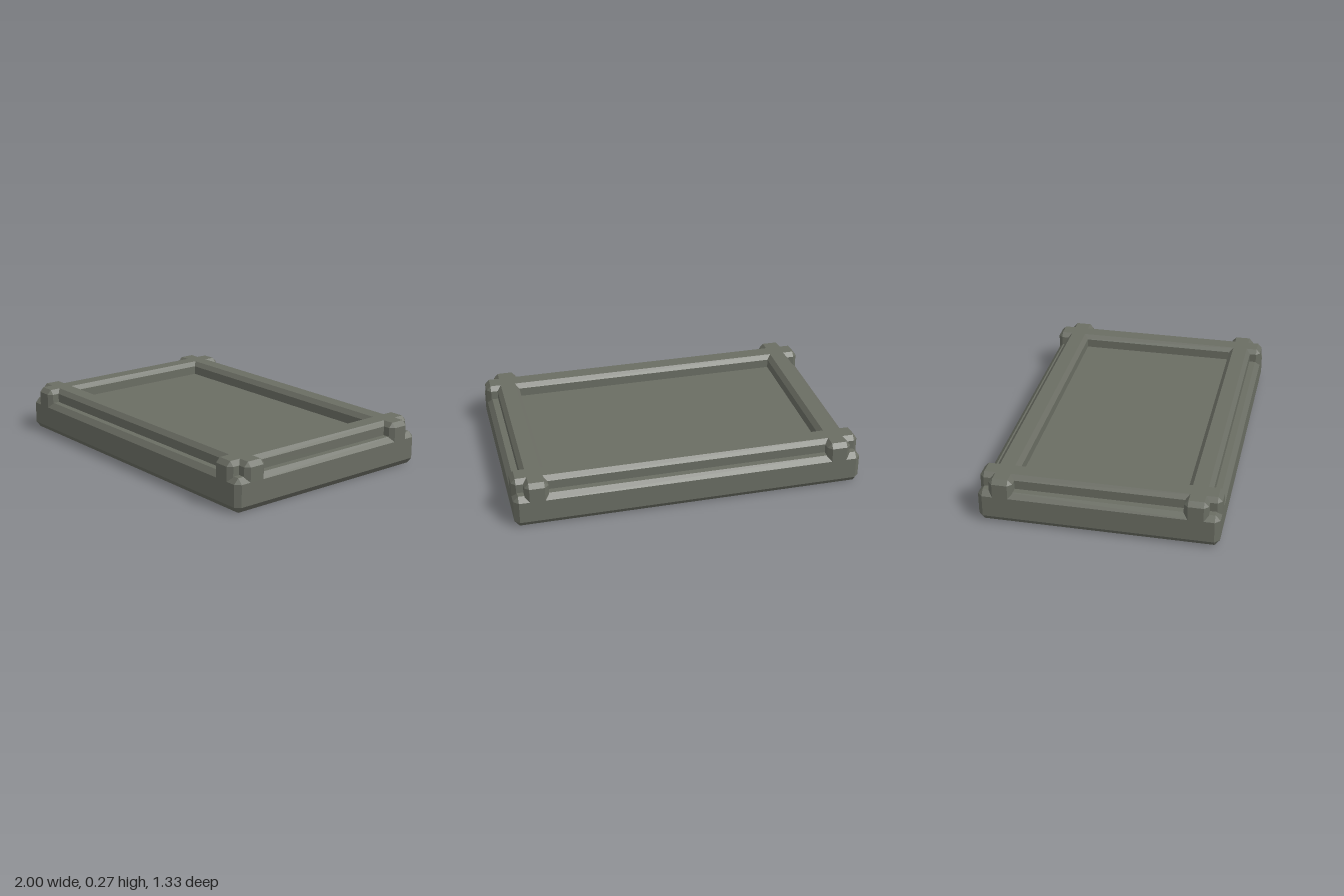
import * as THREE from 'three';
import { ConvexGeometry } from 'three/addons/geometries/ConvexGeometry.js';

// Block with chamfered edges; each end of y may have its own chamfer height (0 = square edge).
function chamferedBlock(halfX, halfZ, y0, y1, c, bottomC, topC) {
  const pts = [];
  for (const sx of [-1, 1]) for (const sz of [-1, 1]) {
    for (const [y, h, inward] of [[y0, bottomC, 1], [y1, topC, -1]]) {
      const yEdge = y + inward * h;
      pts.push(new THREE.Vector3(sx * halfX, yEdge, sz * (halfZ - c)));
      pts.push(new THREE.Vector3(sx * (halfX - c), yEdge, sz * halfZ));
      if (h > 0) pts.push(new THREE.Vector3(sx * (halfX - c), y, sz * (halfZ - c)));
    }
  }
  return new ConvexGeometry(pts);
}

export function createModel() {
  const group = new THREE.Group();
  group.name = 'tray';
  const stone = new THREE.MeshStandardMaterial({ color: 0x6a6d63 });
  stone.name = 'grey green';

  const add = (name, geometry, x = 0, z = 0) => {
    const mesh = new THREE.Mesh(geometry, stone);
    mesh.name = name;
    mesh.position.set(x, 0, z);
    group.add(mesh);
  };

  const X = 1, Z = 0.667, ledge = 0.19, top = 0.268;
  const inset = 0.131, railHalf = 0.067, c = 0.024; // rail centre from edge, half width, chamfer

  // Base slab, whose top is both the outer ledge and the tray floor
  add('base', chamferedBlock(X, Z, 0, ledge, 0.028, 0.035, 0.03));

  // Four crossing rails, each running the full length and ending flush with the base
  for (const [side, s] of [['left', 1], ['right', -1]]) {
    add(side + 'Rail', chamferedBlock(railHalf, Z, 0.16, top, c, 0, 0.026), s * (X - inset), 0);
  }
  for (const [side, s] of [['front', 1], ['back', -1]]) {
    add(side + 'Rail', chamferedBlock(X, railHalf, 0.16, top, c, 0, 0.026), 0, s * (Z - inset));
  }
  return group;
}
